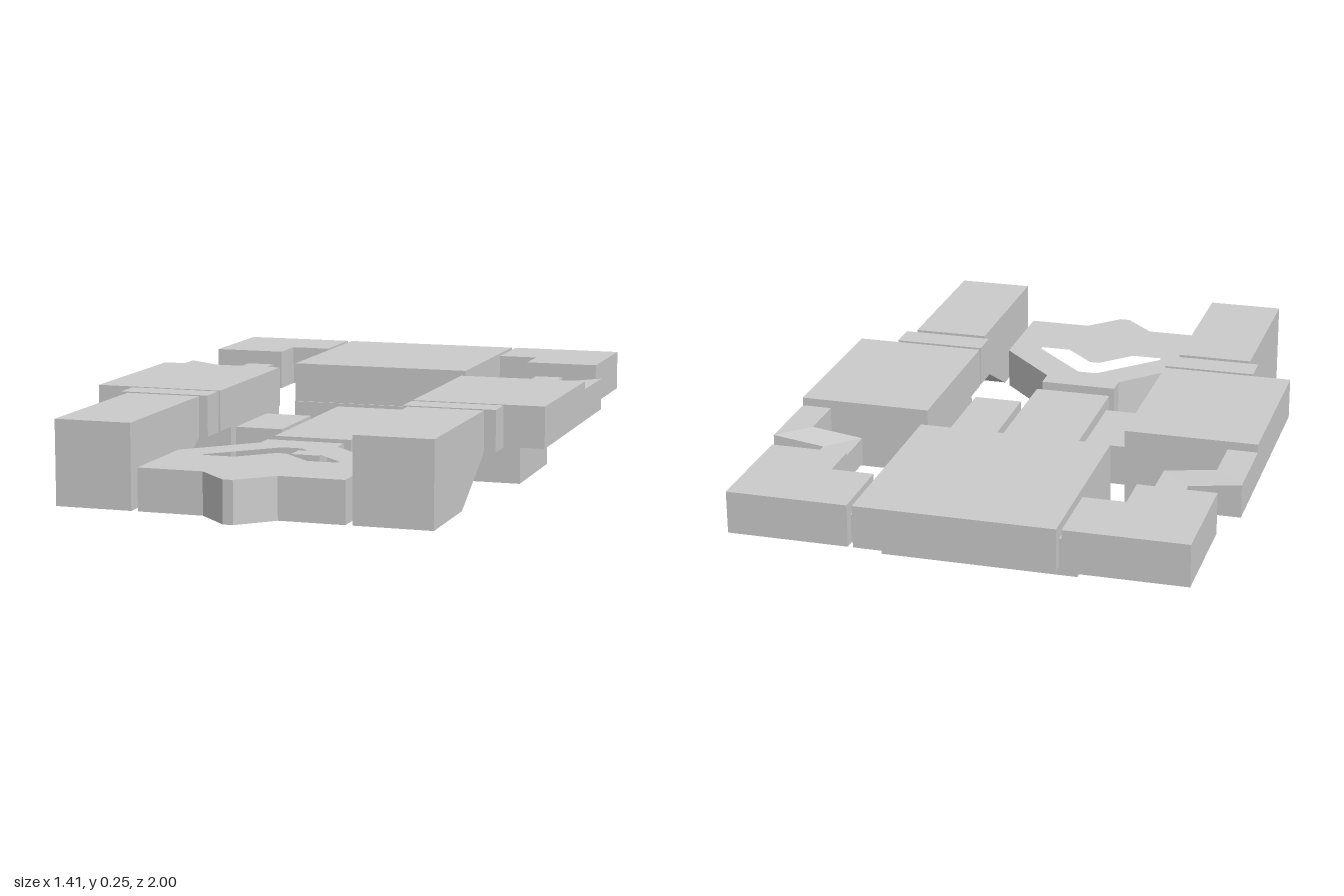
import * as THREE from 'three';

const material = new THREE.MeshStandardMaterial({ color: 0xcccccc, flatShading: true });

export function createModel() {
  const group = new THREE.Group();

  const add = (name, geometry) => {
    const mesh = new THREE.Mesh(geometry, material);
    mesh.name = name;
    group.add(mesh);
    return mesh;
  };

  // Box given by its limits on each axis
  const box = (name, x0, x1, y0, y1, z0, z1) => {
    const mesh = add(name, new THREE.BoxGeometry(x1 - x0, y1 - y0, z1 - z0));
    mesh.position.set((x0 + x1) / 2, (y0 + y1) / 2, (z0 + z1) / 2);
  };

  const extrude = (points, depth, hole) => {
    const shape = new THREE.Shape(points.map(([a, b]) => new THREE.Vector2(a, b)));
    if (hole) shape.holes.push(new THREE.Path(hole.map(([a, b]) => new THREE.Vector2(a, b))));
    return new THREE.ExtrudeGeometry(shape, { depth, bevelEnabled: false });
  };

  // Plate from an outline of [x, z] points
  const plan = (points, y0, y1, hole) => {
    const flip = (list) => list && list.map(([x, z]) => [x, -z]);
    return extrude(flip(points), y1 - y0, flip(hole)).rotateX(-Math.PI / 2).translate(0, y0, 0);
  };

  const mirrored = (half) => [...half, ...half.map(([x, z]) => [-x, z]).reverse()];

  // Upper and lower layers meet at this height
  const MID = 0.125, TOP = 0.25;

  // Centre line
  box('backPlate', -0.29, 0.29, MID, TOP, -1, -0.39);
  box('backBlock', -0.29, 0.29, 0, MID, -0.77, -0.385);
  add('backRib', extrude([[-0.22, MID], [-0.06, 0.065], [0.06, 0.065], [0.22, MID]], 0.075)
    .translate(0, 0, -0.845));
  box('rearNeck', -0.045, 0.045, 0, 0.085, -0.39, -0.32);
  box('spine', -0.12, 0.12, 0, MID, -0.32, 0.285);
  box('frontNeck', -0.045, 0.045, 0, 0.085, 0.28, 0.355);

  // Pointed front plate with an arrow-shaped opening
  add('frontPlate', plan(
    mirrored([[0.12, 0.35], [0.12, 0.41], [0.305, 0.6], [0.305, 0.905], [0.11, 0.905], [0.015, 1]]),
    0, MID,
    mirrored([[0.03, 0.47], [0.205, 0.645], [0.205, 0.66], [0.11, 0.66], [0.015, 0.565]])));

  for (const [side, s] of [['left', 1], ['right', -1]]) {
    const sideBox = (name, x0, x1, ...rest) =>
      box(side + name, Math.min(s * x0, s * x1), Math.max(s * x0, s * x1), ...rest);
    const sidePlan = (points) => points.map(([x, z]) => [s * x, z]);

    // Rear corner plate
    sideBox('CornerLink', 0.285, 0.315, MID, 0.21, -0.97, -0.88);
    add(side + 'CornerPlate', plan(sidePlan([[0.305, -1], [0.66, -1], [0.66, -0.65],
      [0.43, -0.65], [0.43, -0.775], [0.305, -0.775]]), MID, TOP));

    // Mitred arm, its rear part stepping down a little
    add(side + 'Arm', plan(sidePlan([[0.615, -0.28], [0.705, -0.28], [0.705, -0.525], [0.615, -0.435]]),
      MID, 0.225));
    const elbow = plan(sidePlan([[0.705, -0.525], [0.615, -0.435], [0.46, -0.435],
      [0.46, -0.65], [0.55, -0.65], [0.55, -0.525]]), MID, 0.225);
    const p = elbow.attributes.position;
    for (let i = 0; i < p.count; i++)
      if (p.getY(i) > 0.2 && Math.abs(p.getX(i)) < 0.56) p.setY(i, 0.205);
    elbow.computeVertexNormals();
    add(side + 'Elbow', elbow);

    // Shoulder, with a block and a sloped rib below
    sideBox('Shoulder', 0.305, 0.705, MID, TOP, -0.28, 0.26);
    sideBox('ShoulderBlock', 0.305, 0.61, 0, MID, -0.18, 0.17);
    add(side + 'ShoulderRib', extrude(sidePlan([[0.305, 0], [0.33, 0], [0.6, MID], [0.305, MID]]), 0.09)
      .translate(0, 0, -0.27));

    // Links from the shoulder block to the spine
    sideBox('OuterLink', 0.285, 0.31, 0, 0.085, -0.06, 0.03);
    sideBox('InnerBlock', 0.14, 0.29, 0, MID, -0.11, 0.165);
    sideBox('InnerLink', 0.115, 0.145, 0, 0.085, 0.03, 0.11);

    // Joint and front block with a sloped underside
    sideBox('JointLink', 0.34, 0.43, MID, 0.21, 0.255, 0.28);
    sideBox('Joint', 0.305, 0.585, MID, TOP, 0.275, 0.365);
    sideBox('FrontLink', 0.46, 0.55, MID, 0.21, 0.36, 0.385);
    add(side + 'FrontBlock', extrude([[-0.905, 0], [-0.62, 0], [-0.385, MID], [-0.385, TOP], [-0.905, TOP]], 0.23)
      .rotateY(Math.PI / 2).translate(s > 0 ? 0.325 : -0.555, 0, 0));
    sideBox('FrontPlateLink', 0.3, 0.33, 0, 0.085, 0.74, 0.83);
  }

  return group;
}
